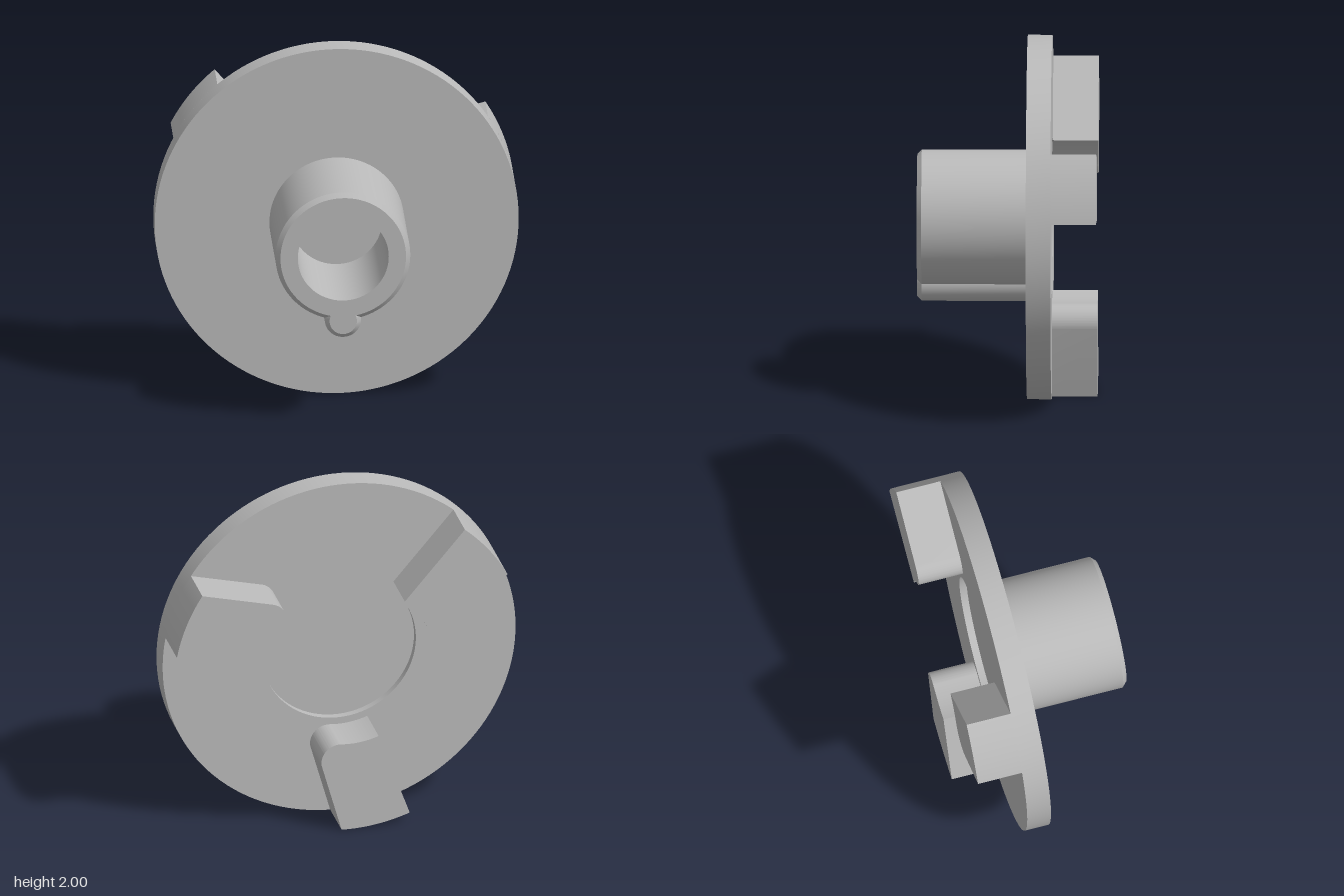
import * as THREE from 'three';
import { toCreasedNormals } from 'three/addons/utils/BufferGeometryUtils.js';

const rad = THREE.MathUtils.degToRad;

export function createModel() {
  const model = new THREE.Group();
  model.name = 'couplingHub';
  const grey = new THREE.MeshStandardMaterial({ color: 0xbababa });
  grey.name = 'plain grey';

  const add = (geometry, name) => {
    const mesh = new THREE.Mesh(toCreasedNormals(geometry, rad(25)), grey);
    mesh.name = name;
    model.add(mesh);
    return mesh;
  };

  // Turned part about the z axis; profile points are [radius, z]
  const turned = (profile, segments) =>
    new THREE.LatheGeometry(profile.map(([r, z]) => new THREE.Vector2(r, z)), segments).rotateX(Math.PI / 2);

  // Flange disc with a shallow recess in its back face
  add(turned([[0, -0.205], [0.435, -0.205], [0.435, -0.245], [1, -0.245], [1, -0.11], [0, -0.11]], 128), 'flange');

  // Chamfered hub with a blind bore
  add(turned([[0.37, -0.11], [0.37, 0.47], [0.345, 0.495], [0.25, 0.495], [0.25, -0.11]], 96), 'hub');

  // Round chamfered key along the underside of the hub
  const key = add(turned([[0.1, -0.11], [0.1, 0.47], [0.075, 0.495], [0, 0.495]], 48), 'key');
  key.position.y = -0.37;

  // Driving lug: sharp inner corner on one side, rounded on the other
  const lug = new THREE.Shape();
  const fillet = new THREE.Vector2(0.063, -0.573);
  lug.absarc(0, 0, 1, rad(250.4), rad(272.9), false);
  lug.absarc(fillet.x, fillet.y, 0.1015, rad(-15.4), rad(96.2), false);
  lug.absarc(0, 0, 0.475, rad(276.2), rad(250.4), true);
  lug.closePath();
  for (let i = 0; i < 3; i++) {
    const geometry = new THREE.ExtrudeGeometry(lug, { depth: 0.25, bevelEnabled: false, curveSegments: 16 });
    geometry.translate(0, 0, -0.495).rotateZ(i * Math.PI * 2 / 3);
    add(geometry, `lug${i + 1}`);
  }

  // Stand the flange rim on the ground
  for (const part of model.children) part.position.y += 1;
  return model;
}
